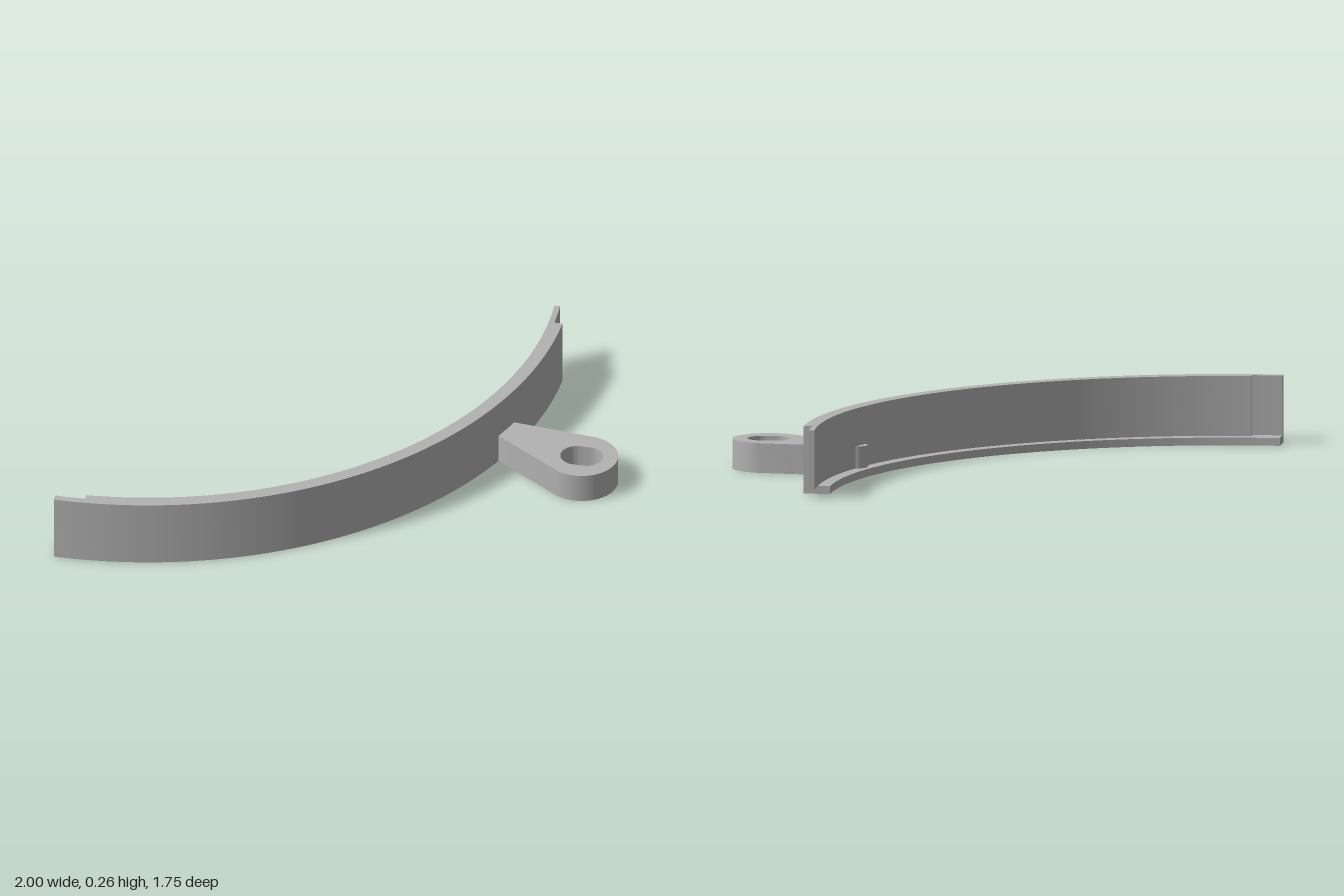
import * as THREE from 'three';
import { toCreasedNormals } from 'three/addons/utils/BufferGeometryUtils.js';

// Ring centre in plan (plan y is -z)
const CX = -1, CY = 0.757;
const R_FLANGE = 1.53, R_WALL = 1.578, R_LAP = 1.603, R_OUTER = 1.632;
const START = -Math.PI / 2, END = 0, LAP = 0.073;

export function createModel() {
  const group = new THREE.Group();
  group.name = 'curvedEdgingSegment';
  const grey = new THREE.MeshStandardMaterial({ color: 0xb2b2b2 });
  grey.name = 'grey';

  // Extrude a plan shape upward from y0 to y1
  function addPlate(name, shape, y0, y1) {
    let geo = new THREE.ExtrudeGeometry(shape, { depth: y1 - y0, bevelEnabled: false, curveSegments: 64 });
    geo.rotateX(-Math.PI / 2);
    geo.translate(0, y0, 0);
    geo = toCreasedNormals(geo, 0.4);
    const mesh = new THREE.Mesh(geo, grey);
    mesh.name = name;
    group.add(mesh);
  }

  // Closed plan outline from a chain of concentric arcs [radius, from, to]
  function arcChain(arcs) {
    const shape = new THREE.Shape();
    for (const [r, a, b] of arcs) shape.absarc(CX, CY, r, a, b, b < a);
    shape.closePath();
    return shape;
  }

  // Foot flange along the bottom
  addPlate('footFlange', arcChain([[R_OUTER, START, END], [R_FLANGE, END, START]]), 0, 0.03);

  // Upright wall: tongue at the back end, matching lap recess at the other
  addPlate('wall', arcChain([
    [R_OUTER, START, END],
    [R_LAP - 0.003, END, END + LAP],
    [R_WALL, END + LAP, START + LAP],
    [R_LAP, START + LAP, START],
  ]), 0.03, 0.262);

  // Tapered lug: hull of a small and a large circle, with a slotted hole
  const s = { x: 0.505, y: 0.22, r: 0.046 }, b = { x: 0.86, y: 0.09, r: 0.14 };
  const dir = Math.atan2(b.y - s.y, b.x - s.x);
  const spread = Math.acos((s.r - b.r) / Math.hypot(b.x - s.x, b.y - s.y));
  const lug = new THREE.Shape();
  lug.absarc(b.x, b.y, b.r, dir - spread, dir + spread, false);
  lug.absarc(s.x, s.y, s.r, dir + spread, dir - spread + 2 * Math.PI, false);
  lug.closePath();
  const slot = new THREE.Path();
  slot.absarc(b.x + 0.018, b.y, 0.065, -Math.PI / 2, Math.PI / 2, false);
  slot.absarc(b.x - 0.018, b.y, 0.065, Math.PI / 2, Math.PI * 1.5, false);
  slot.closePath();
  lug.holes.push(slot);
  addPlate('anchorLug', lug, 0, 0.115);

  return group;
}
